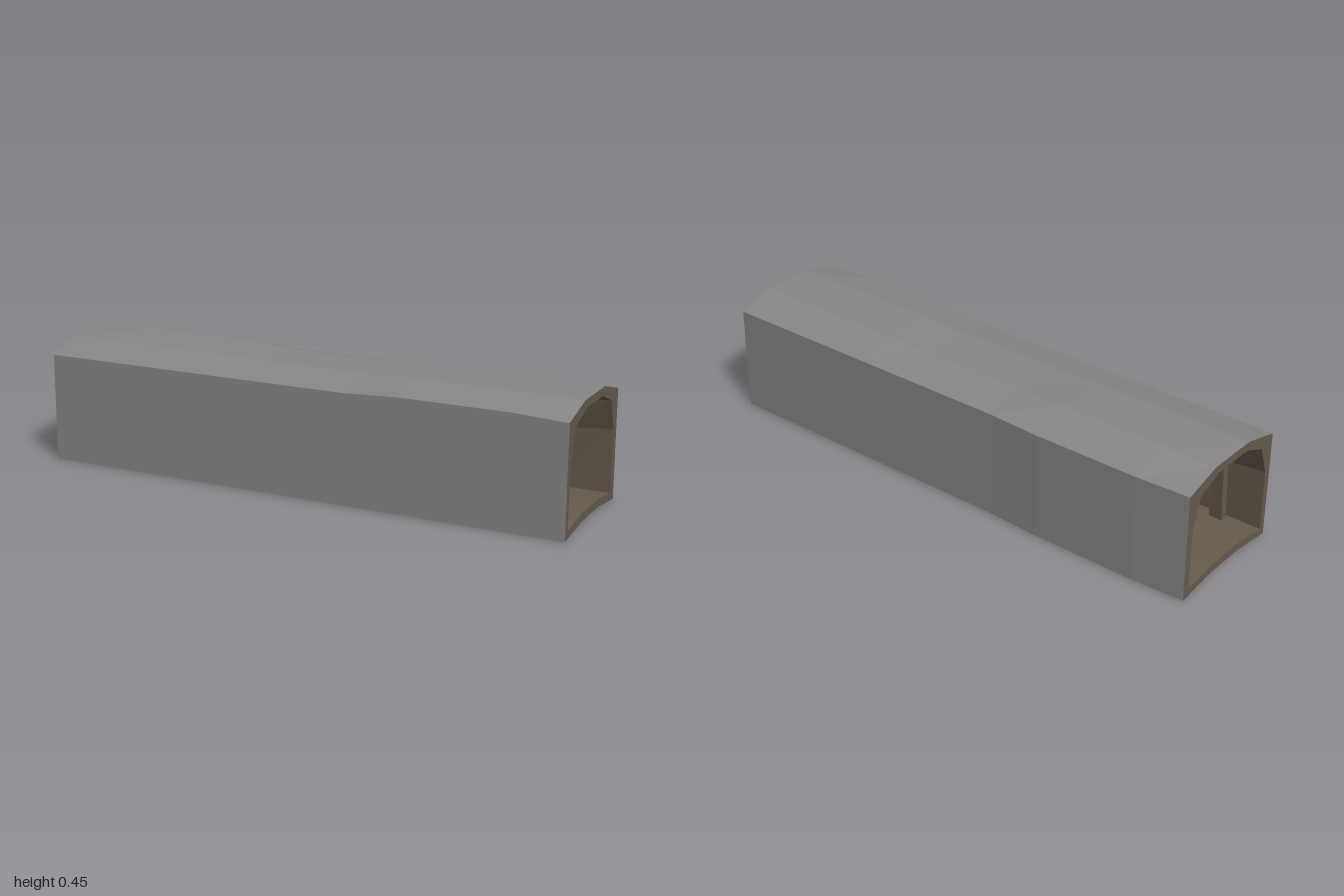
import * as THREE from 'three';

const stone = new THREE.MeshStandardMaterial({ color: 0x868686, flatShading: true });
stone.name = 'grey stone';
const earth = new THREE.MeshStandardMaterial({ color: 0x665b4d, flatShading: true });
earth.name = 'brown earth';

// Cross-sections as [z, y], from the front foot up and over to the back
const OUTER = [[0.25, 0], [0.25, 0.26], [0.25, 0.4], [0.1, 0.44], [-0.1, 0.44],
  [-0.245, 0.4], [-0.245, 0.26], [-0.245, 0], [-0.085, 0.02], [0.085, 0.02]];
const INNER = [[0.225, 0.03], [0.225, 0.26], [0.185, 0.37], [0.09, 0.41], [-0.08, 0.41],
  [-0.18, 0.37], [-0.215, 0.26], [-0.215, 0.03], [-0.08, 0.05], [0.09, 0.05]];
const STATIONS = Array.from({ length: 11 }, (_, i) => -1 + i * 0.2);

// Outer ring: slight swells in the roof and the back wall, flat underside between the ends
function outerRing(x) {
  const bulge = Math.max(0, 1 - Math.max(0, Math.abs(x + 0.6) - 0.2) / 0.2);
  const eave = x > 0.3 && x < 0.9 ? 0.01 : 0;
  const sag = Math.abs(x) < 0.3 ? -0.005 : 0;
  return OUTER.map(([z, y], j) => {
    if (j === 2) y += eave;
    if (j === 3 || j === 4) y += sag;
    if (j === 4) y += 0.007 * bulge;
    if (j >= 4 && j <= 7) z -= 0.01 * bulge;
    if (j >= 8 && Math.abs(x) < 0.9) y = 0.002;
    return new THREE.Vector3(x, y, z);
  });
}

// Inner ring: roughly dug walls, even at both mouths
function innerRing(x) {
  const rough = Math.abs(x) > 0.95 ? 0 : 1;
  return INNER.map(([z, y], j) => {
    const n = rough * (0.5 + 0.5 * Math.sin(j * 2.3 + x * 9));
    const floor = j >= 7 || j === 0;
    return new THREE.Vector3(x, y - (floor ? 0 : 0.012 * n), z * (1 - 0.06 * n));
  });
}

// Skin consecutive rings with flat quads
function loft(rings) {
  const pos = [];
  for (let i = 0; i + 1 < rings.length; i++) {
    const a = rings[i], b = rings[i + 1];
    for (let j = 0; j < a.length; j++) {
      const k = (j + 1) % a.length;
      for (const p of [a[j], b[j], b[k], a[j], b[k], a[k]]) pos.push(p.x, p.y, p.z);
    }
  }
  const g = new THREE.BufferGeometry();
  g.setAttribute('position', new THREE.Float32BufferAttribute(pos, 3));
  g.computeVertexNormals();
  return g;
}

// Arched support: two posts and a three-piece beam
function supportGeometry() {
  const half = [[0.197, 0.04], [0.187, 0.345], [0.09, 0.396]];
  const inside = [[0.085, 0.365], [0.162, 0.33], [0.17, 0.04]];
  const flip = (pts) => pts.map(([u, y]) => [-u, y]).reverse();
  const outline = [...half, ...flip(half), ...flip(inside), ...inside];
  const shape = new THREE.Shape(outline.map(([u, y]) => new THREE.Vector2(u, y)));
  const g = new THREE.ExtrudeGeometry(shape, { depth: 0.05, bevelEnabled: false });
  return g.translate(0, 0, -0.025).rotateY(Math.PI / 2);
}

export function createModel() {
  const model = new THREE.Group();
  model.name = 'tunnel';
  const add = (name, geometry, material) => {
    const mesh = new THREE.Mesh(geometry, material);
    mesh.name = name;
    model.add(mesh);
    return mesh;
  };

  // Shell, lining and the rims joining them at each mouth
  const outer = STATIONS.map(outerRing);
  const inner = STATIONS.map(innerRing).reverse();
  add('outerShell', loft(outer), stone);
  add('innerLining', loft(inner), earth);
  add('leftRim', loft([outer[10], inner[0]]), earth);
  add('rightRim', loft([inner[10], outer[0]]), earth);

  // Supports, each leaning a little
  const support = supportGeometry();
  [[0.82, 0, 0], [0.4, 0.03, 0.05], [0, -0.04, -0.06], [-0.4, 0.045, 0.04], [-0.85, -0.02, -0.03]]
    .forEach(([x, lean, turn], i) => {
      const frame = add('supportFrame' + (i + 1), support, earth);
      frame.position.set(x, 0, 0);
      frame.rotation.set(lean, turn, 0);
    });

  // Low earth heaps along the foot of the walls
  const heap = new THREE.IcosahedronGeometry(1, 0);
  [[0.2, 0.17, 0.07], [-0.2, -0.165, 0.09], [-0.6, 0.175, 0.06], [0.58, -0.17, 0.05]]
    .forEach(([x, z, h], i) => {
      const mound = add('earthHeap' + (i + 1), heap, earth);
      mound.position.set(x, 0.045, z);
      mound.scale.set(0.1, h, 0.06);
      mound.scale.y = Math.min(h, 0.04);
    });

  return model;
}
